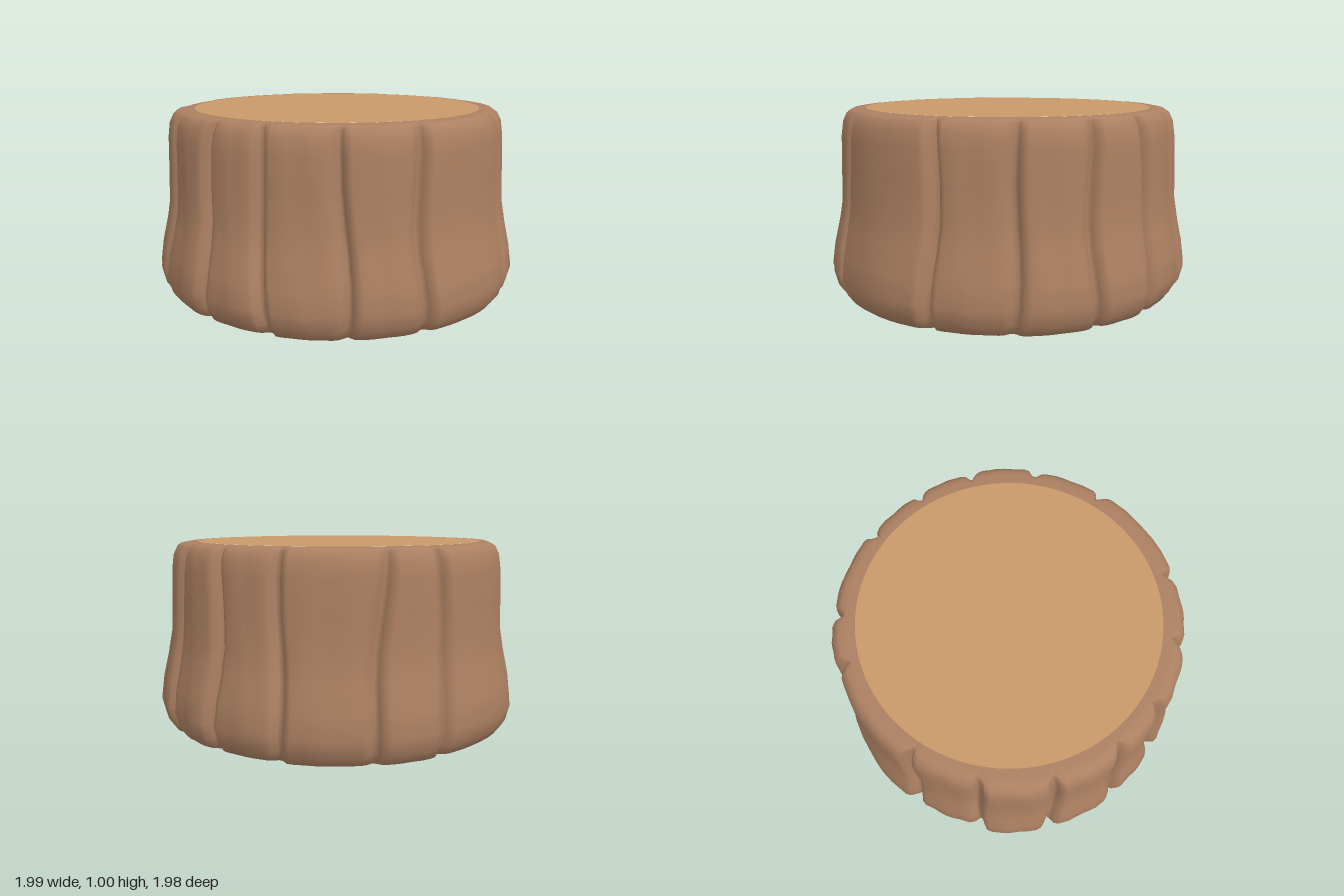
import * as THREE from 'three';

const bark = new THREE.MeshStandardMaterial({ color: 0xac8062 });
bark.name = 'bark brown';
const wood = new THREE.MeshStandardMaterial({ color: 0xc8996a });
wood.name = 'cut wood tan';

// Bark grooves: [angle at the foot, angle at the rim] in degrees, 0 = front, 90 = left
const grooves = [
  [2, 0], [25, 23.5], [64, 64], [88, 89.5], [112.5, 111.5], [135, 133.5], [156.5, 156],
  [183, 187], [205.5, 206], [244, 244.5], [269, 268], [292.5, 293], [315.5, 317], [338.5, 335],
];
// How far each bark plate stands out, starting at the plate after the first groove
const plateOut = [0, 0.004, -0.004, 0.006, -0.004, -0.012, 0.004, 0.01, -0.004, -0.02, 0.008, 0, -0.008, 0.002];

// Profile rows: radius, height, groove depth
const profile = [
  [0.875, 0.003, 0.015], [0.93, 0.018, 0.035], [0.968, 0.07, 0.055], [0.988, 0.15, 0.065],
  [0.972, 0.27, 0.065], [0.943, 0.4, 0.065], [0.922, 0.52, 0.065], [0.916, 0.7, 0.065],
  [0.91, 0.86, 0.06], [0.9, 0.935, 0.055], [0.88, 0.978, 0.045], [0.855, 0.994, 0.025],
  [0.825, 0.999, 0.008], [0.775, 1, 0],
];

// Cross-section of one plate: degrees past its first groove, or before its second
const leadEdge = [[0, 1], [0.9, 0.6], [1.8, 0.15], [3.4, 0]];
const trailEdge = [[4.5, 0.03], [2.8, 0.2], [1.3, 0.65]];
const middle = [0.2, 0.35, 0.5, 0.65, 0.8];

function grooveAngle(i, y) {
  const n = grooves.length;
  const [foot, rim] = grooves[i % n];
  const wobble = 0.9 * Math.sin(y * 6 + (i % n) * 2.1);
  return foot + (rim - foot) * y + wobble + (i >= n ? 360 : 0);
}

// One ring of points around the stump for a profile row
function ringPoints([radius, y, depth]) {
  const points = [];
  const add = (deg, r) => {
    const a = THREE.MathUtils.degToRad(deg);
    points.push(r * Math.sin(a), y, r * Math.cos(a));
  };
  grooves.forEach((_, i) => {
    const a0 = grooveAngle(i, y), a1 = grooveAngle(i + 1, y);
    const out = depth > 0 ? plateOut[i] : 0;
    const r = radius + out;
    leadEdge.forEach(([d, k]) => add(a0 + d, r - depth * k));
    middle.forEach((t) => {
      const a = THREE.MathUtils.lerp(a0 + 3.4, a1 - 4.5, t);
      const ripple = depth * 0.06 * Math.sin(t * 9 + i * 1.7 + y * 4);
      add(a, r + ripple);
    });
    trailEdge.forEach(([d, k]) => add(a1 - d, r - depth * k));
  });
  return points;
}

// Loft the rings into one closed, smooth bark wall
function barkGeometry() {
  const positions = profile.flatMap(ringPoints);
  const cols = positions.length / 3 / profile.length;
  const index = [];
  for (let j = 0; j < profile.length - 1; j++) {
    for (let i = 0; i < cols; i++) {
      const next = (i + 1) % cols;
      const a = j * cols + i, b = j * cols + next;
      const c = b + cols, d = a + cols;
      index.push(a, b, c, a, c, d);
    }
  }
  const geometry = new THREE.BufferGeometry();
  geometry.setAttribute('position', new THREE.Float32BufferAttribute(positions, 3));
  geometry.setIndex(index);
  geometry.computeVertexNormals();
  return geometry;
}

// Flat underside following the lowest ring
function undersideGeometry() {
  const ring = ringPoints(profile[0]);
  const outline = [];
  for (let i = 0; i < ring.length; i += 3) outline.push(new THREE.Vector2(ring[i], ring[i + 2]));
  return new THREE.ShapeGeometry(new THREE.Shape(outline)).rotateX(Math.PI / 2);
}

export function createModel() {
  const stump = new THREE.Group();
  stump.name = 'treeStump';
  const add = (name, geometry, material, y = 0) => {
    const mesh = new THREE.Mesh(geometry, material);
    mesh.name = name;
    mesh.position.y = y;
    stump.add(mesh);
  };
  add('barkWall', barkGeometry(), bark);
  add('underside', undersideGeometry(), bark, 0.003);
  add('cutTop', new THREE.CircleGeometry(0.78, 96).rotateX(-Math.PI / 2), wood, 1.001);
  return stump;
}
